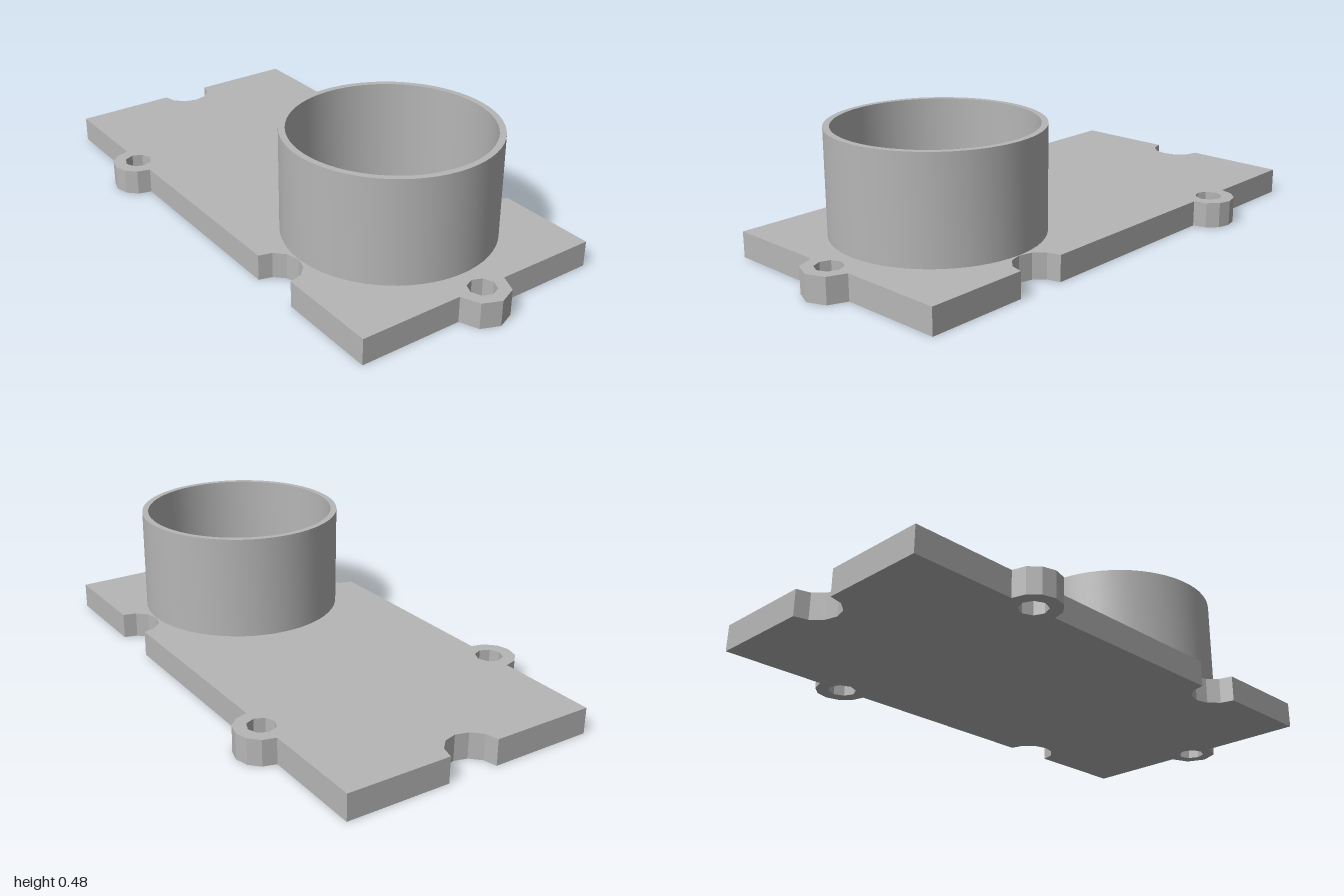
import * as THREE from 'three';
import { toCreasedNormals } from 'three/addons/utils/BufferGeometryUtils.js';

const H = 0.095;          // plate thickness
const TOP = 0.478;        // cup rim height
const W = 0.478;          // half width of the plate
const RIGHT = 0.905;      // right edge of the plate
const LUG_X = -0.525, CUP_X = 0.43;

// Points of a faceted arc from angle a to b (in degrees)
function arc(cx, cy, r, a, b, n) {
  return Array.from({ length: n + 1 }, (_, i) => {
    const t = THREE.MathUtils.degToRad(a + (b - a) * i / n);
    return new THREE.Vector2(cx + r * Math.cos(t), cy + r * Math.sin(t));
  });
}

export function createModel() {
  const group = new THREE.Group();
  const grey = new THREE.MeshStandardMaterial({ color: 0xb6b6b6 });
  grey.name = 'grey';

  // Plate outline with three lugs and three notches, counter-clockwise
  const outline = new THREE.Shape([
    new THREE.Vector2(-1, -W),
    ...arc(LUG_X, -W, 0.095, 180, 360, 6),
    ...arc(CUP_X, -W, 0.096, 180, 0, 6),
    new THREE.Vector2(RIGHT, -W),
    ...arc(RIGHT, 0, 0.095, -90, 90, 4),
    new THREE.Vector2(RIGHT, W),
    ...arc(CUP_X, W, 0.096, 0, -180, 6),
    ...arc(LUG_X, W, 0.095, 0, 180, 6),
    new THREE.Vector2(-1, W),
    ...arc(-1, 0, 0.096, 90, -90, 6),
  ]);

  // Screw holes through the lugs
  for (const [x, y] of [[LUG_X, -W], [LUG_X, W], [RIGHT, 0]]) {
    outline.holes.push(new THREE.Path(arc(x, y, 0.05, 0, -315, 7)));
  }
  const plateGeo = new THREE.ExtrudeGeometry(outline, { depth: H, bevelEnabled: false });
  plateGeo.rotateX(-Math.PI / 2);
  const plate = new THREE.Mesh(plateGeo, grey);
  plate.name = 'basePlate';
  group.add(plate);

  // Thin-walled round cup, open at the top
  const profile = [[0.38, H], [0.38, TOP], [0.357, TOP], [0.357, H]]
    .map(([r, y]) => new THREE.Vector2(r, y));
  const cup = new THREE.Mesh(toCreasedNormals(new THREE.LatheGeometry(profile, 64), 0.6), grey);
  cup.name = 'cupWall';
  cup.position.x = CUP_X;
  group.add(cup);

  return group;
}
